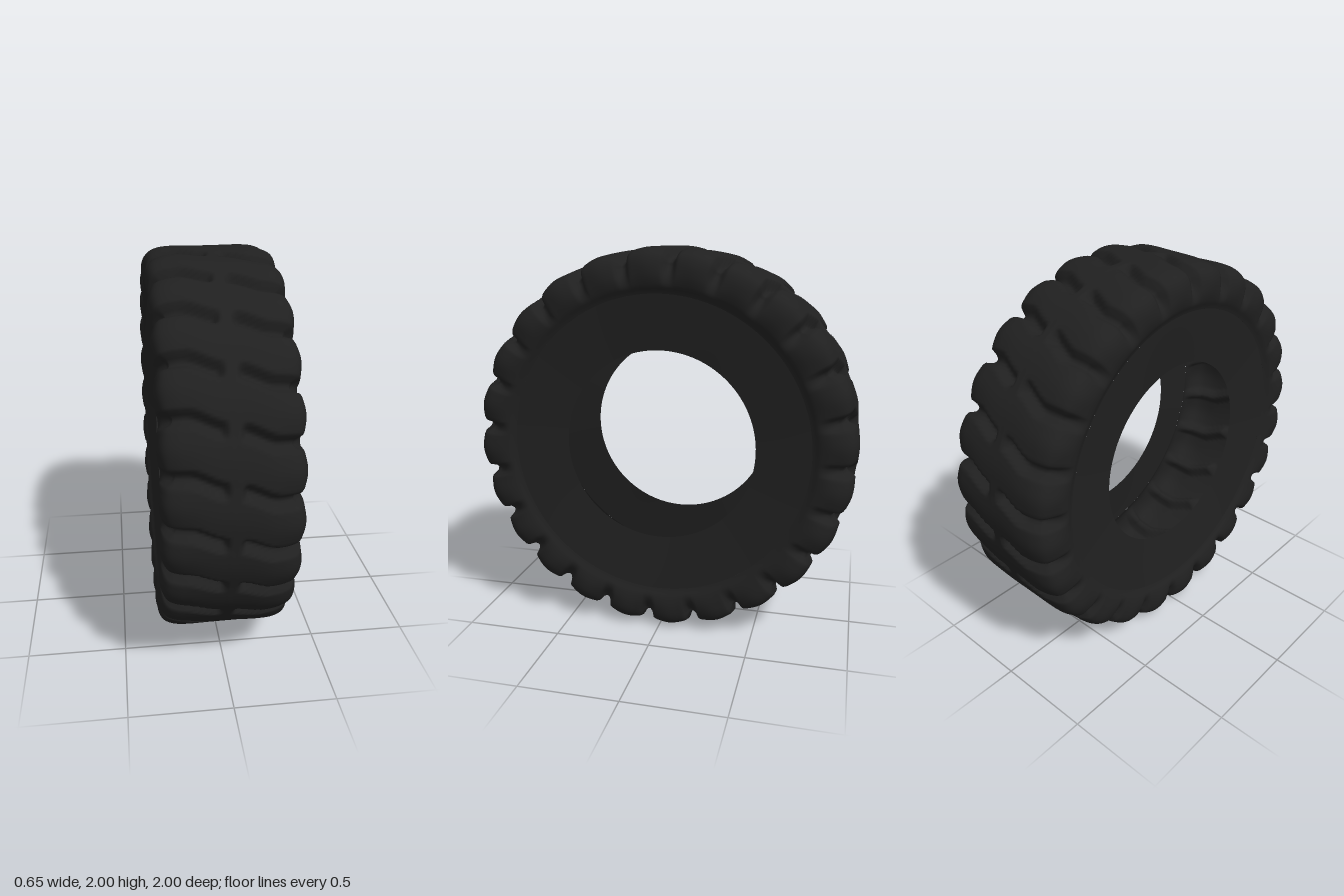
import * as THREE from 'three';

const LUGS = 24;
const PITCH = 360 / LUGS;
const smooth = THREE.MathUtils.smoothstep;

// Cross-section from the crown (x = 0) to the sidewall joint: [radius, x]
const HALF_PROFILE = [
  [0.998, 0.0], [0.998, 0.1], [0.997, 0.19], [0.99, 0.25], [0.968, 0.297],
  [0.925, 0.321], [0.87, 0.325], [0.82, 0.314], [0.79, 0.298], [0.775, 0.292],
];
const BEAD = [0.495, 0.257];

// Depth cut into the casing at a given angle (degrees), x and radius
function grooveDepth(deg, x, r) {
  const ax = Math.abs(x);
  const centre = PITCH / 2 - Math.sign(x) * (0.3 + 3.4 * smooth(ax, 0.03, 0.2));
  let d = (((deg - centre) % PITCH) + PITCH) % PITCH;
  if (d > PITCH / 2) d -= PITCH;
  const cut = 0.045 * smooth(ax, 0.02, 0.055) * (1 - smooth(Math.abs(d), 0.7, 2.4));
  const dome = (0.006 + 0.012 * smooth(ax, 0.1, 0.28)) * (0.5 + 0.5 * Math.cos((d / PITCH) * 2 * Math.PI));
  return (cut + dome) * smooth(r, 0.8, 0.93);
}

// Tread band: the profile swept around the axle with staggered lug grooves
function treadGeometry() {
  const right = HALF_PROFILE.map(([r, x]) => new THREE.Vector2(r, x));
  const left = HALF_PROFILE.slice(1).reverse().map(([r, x]) => new THREE.Vector2(r, -x));
  const curve = new THREE.SplineCurve([...left, ...right]);
  const rows = 96;
  const around = LUGS * 18;
  const section = curve.getSpacedPoints(rows);
  const positions = [];
  const index = [];
  for (let i = 0; i < around; i++) {
    const deg = (i / around) * 360;
    const a = THREE.MathUtils.degToRad(deg);
    for (let j = 0; j <= rows; j++) {
      const p = section[j];
      const t = section[Math.min(j + 1, rows)].clone().sub(section[Math.max(j - 1, 0)]).normalize();
      const depth = grooveDepth(deg, p.y, p.x);
      const r = p.x - t.y * depth;
      const x = p.y + t.x * depth;
      positions.push(x, r * Math.sin(a), r * Math.cos(a));
    }
  }
  const at = (i, j) => (i % around) * (rows + 1) + j;
  for (let i = 0; i < around; i++) {
    for (let j = 0; j < rows; j++) {
      index.push(at(i, j), at(i, j + 1), at(i + 1, j + 1));
      index.push(at(i, j), at(i + 1, j + 1), at(i + 1, j));
    }
  }
  const geometry = new THREE.BufferGeometry();
  geometry.setAttribute('position', new THREE.Float32BufferAttribute(positions, 3));
  geometry.setIndex(index);
  geometry.computeVertexNormals();
  return geometry;
}

export function createModel() {
  const rubber = new THREE.MeshStandardMaterial({ color: 0x202020, side: THREE.DoubleSide });
  rubber.name = 'black rubber';

  const tyre = new THREE.Group();
  tyre.name = 'tyre';

  const tread = new THREE.Mesh(treadGeometry(), rubber);
  tread.name = 'tread';
  tread.position.y = 1;
  tyre.add(tread);

  // Gently dished sidewalls, open at the bead
  const [joint] = HALF_PROFILE.slice(-1);
  const wall = new THREE.LatheGeometry(
    [new THREE.Vector2(...joint), new THREE.Vector2(0.64, 0.276), new THREE.Vector2(...BEAD)], 144);
  for (const side of [1, -1]) {
    const sidewall = new THREE.Mesh(wall, rubber);
    sidewall.name = side > 0 ? 'leftSidewall' : 'rightSidewall';
    sidewall.rotation.z = (-side * Math.PI) / 2;
    sidewall.position.y = 1;
    tyre.add(sidewall);
  }
  return tyre;
}
